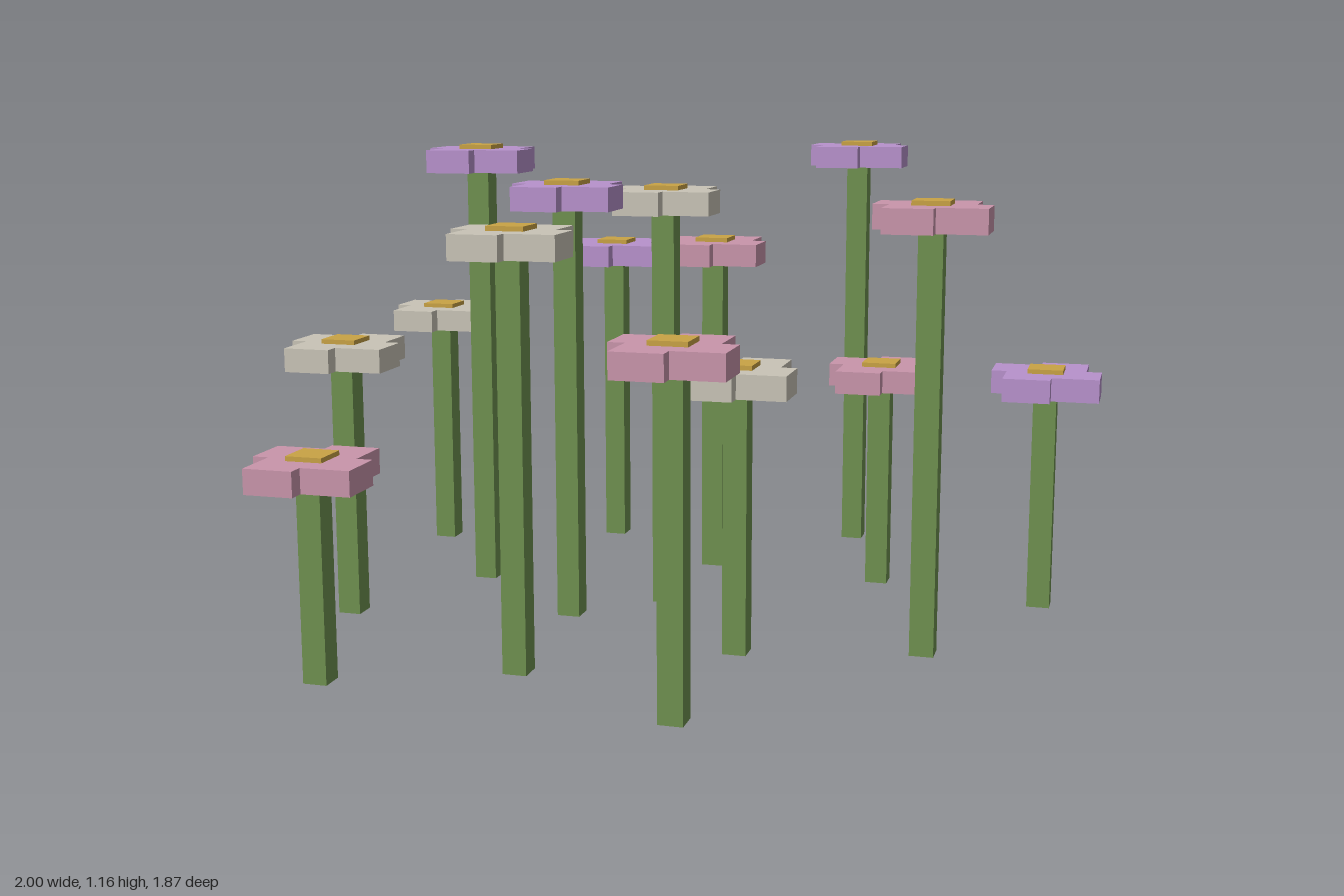
import * as THREE from 'three';

const material = (name, color) => {
  const m = new THREE.MeshStandardMaterial({ color });
  m.name = name;
  return m;
};

export function createModel() {
  const green = material('stem green', 0x6f9150);
  const gold = material('centre gold', 0xc9a345);
  const purple = material('petal purple', 0xb892cc);
  const pink = material('petal pink', 0xc995ab);
  const cream = material('petal cream', 0xc9c4b7);

  const STEM = 0.057, PETAL = 0.116, THICK = 0.058, EYE = 0.087;
  const petalGeo = new THREE.BoxGeometry(PETAL, THICK, PETAL);
  const eyeGeo = new THREE.BoxGeometry(EYE, THICK, EYE);

  // x, z, height of the petals' middle, petal colour
  const flowers = [
    [0.285, -0.80, 1.11, purple],
    [-0.395, -0.665, 0.83, purple],
    [-0.865, -0.50, 0.65, cream],
    [-0.035, -0.41, 0.868, pink],
    [0.43, -0.36, 0.557, pink],
    [0.865, -0.25, 0.577, purple],
    [-0.592, -0.13, 1.12, purple],
    [-0.067, -0.04, 1.03, cream],
    [-0.265, 0.135, 1.05, purple],
    [-0.805, 0.26, 0.66, cream],
    [0.208, 0.32, 0.652, cream],
    [0.633, 0.215, 1.025, pink],
    [-0.238, 0.587, 0.98, cream],
    [-0.645, 0.765, 0.483, pink],
    [0.19, 0.80, 0.778, pink],
  ];

  const model = new THREE.Group();
  model.name = 'flowerPatch';

  for (const [x, z, y, colour] of flowers) {
    const flower = new THREE.Group();
    flower.name = 'flower';
    flower.position.set(x, 0, z);
    const add = (name, geo, mat, px, py, pz) => {
      const mesh = new THREE.Mesh(geo, mat);
      mesh.name = name;
      mesh.position.set(px, py, pz);
      flower.add(mesh);
    };

    // Square stem, ending inside the head
    add('stem', new THREE.BoxGeometry(STEM, y, STEM), green, 0, y / 2, 0);

    // Four square petals in a pinwheel
    let px = 0.039, pz = -0.077;
    for (let i = 0; i < 4; i++) {
      add('petal', petalGeo, colour, px, y, pz);
      [px, pz] = [-pz, px];
    }

    // Centre rising just above the petals
    add('flowerCentre', eyeGeo, gold, 0, y + 0.011, 0);
    model.add(flower);
  }
  return model;
}
